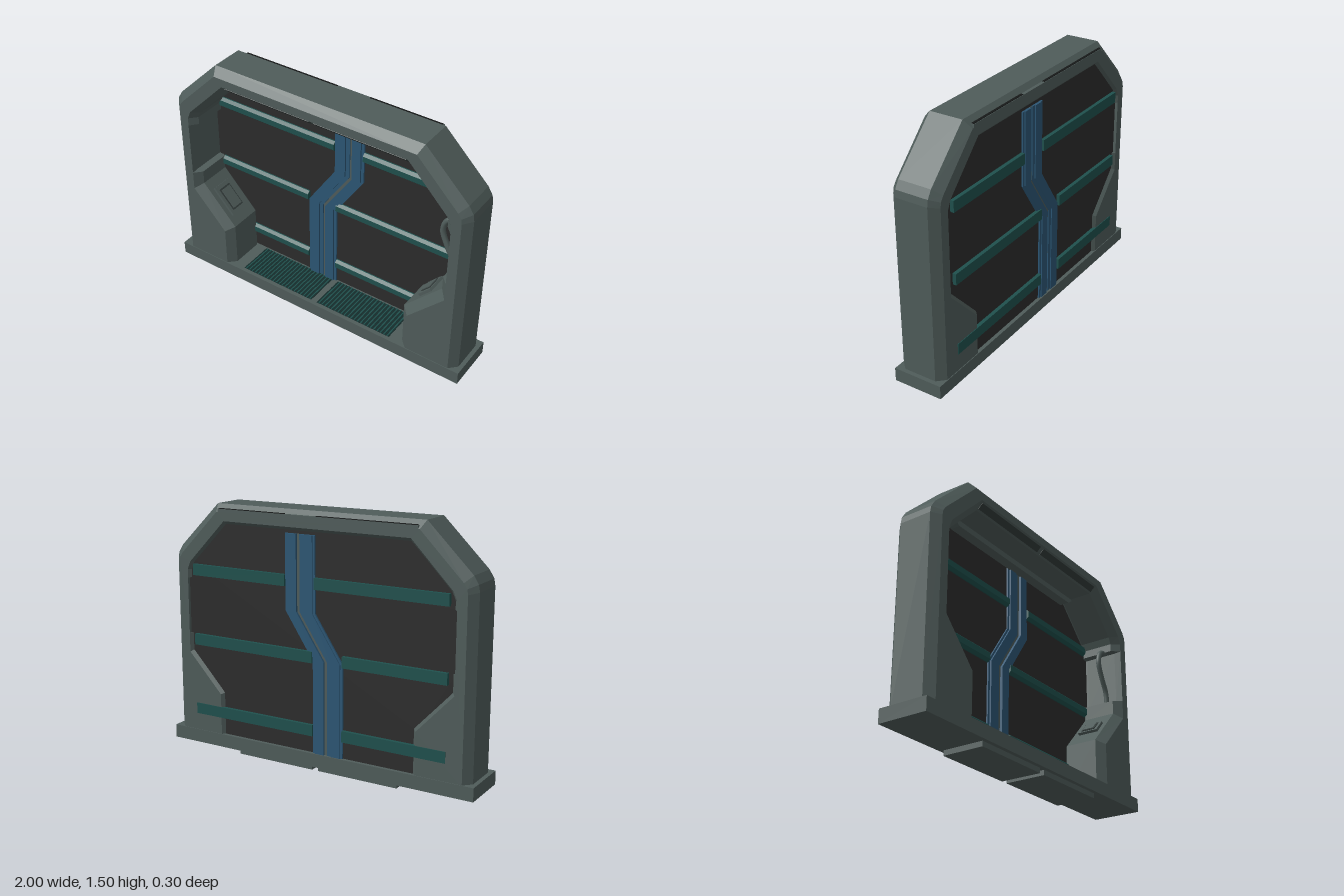
import * as THREE from 'three';

const mat = (name, color, side = THREE.FrontSide) => {
  const m = new THREE.MeshStandardMaterial({ color, side });
  m.name = name;
  return m;
};

// Mirror a right-hand half contour into a full arch, running from +x foot to -x foot
const arch = (half) => [...half, ...half.map(([x, y]) => [-x, y]).reverse()];

const OUTER = arch([[0.975, 0.1], [0.975, 1.15], [0.968, 1.19], [0.94, 1.235], [0.67, 1.5]]);
const FACE = arch([[0.93, 0.1], [0.93, 1.14], [0.925, 1.17], [0.905, 1.2], [0.65, 1.455]]);
const OPENING = arch([[0.65, 0.1], [0.65, 0.36], [0.872, 0.595], [0.872, 0.71], [0.872, 0.712],
  [0.872, 1.05], [0.872, 1.052], [0.872, 1.1], [0.85, 1.15], [0.6, 1.405]]);
// Narrower throat, widened into a pocket on each side
const THROAT = arch([[0.605, 0.1], [0.605, 0.385], [0.83, 0.625], [0.83, 0.71], [0.875, 0.712],
  [0.875, 1.05], [0.83, 1.052], [0.83, 1.1], [0.81, 1.14], [0.59, 1.36]]);

// Skin a series of [contour, z] rings
function loft(rings) {
  const pos = [];
  const put = ([c, z], i) => pos.push(c[i][0], c[i][1], z);
  for (let r = 0; r < rings.length - 1; r++) {
    const p = rings[r], q = rings[r + 1];
    for (let i = 0; i < p[0].length - 1; i++) {
      put(p, i); put(q, i + 1); put(p, i + 1);
      put(p, i); put(q, i); put(q, i + 1);
    }
  }
  const g = new THREE.BufferGeometry();
  g.setAttribute('position', new THREE.Float32BufferAttribute(pos, 3));
  g.computeVertexNormals();
  return g;
}

const shapeOf = (pts) => new THREE.Shape(pts.map(([x, y]) => new THREE.Vector2(x, y)));

// Extrude an outline between two z planes
function slab(pts, z0, z1) {
  return new THREE.ExtrudeGeometry(shapeOf(pts), { depth: z1 - z0, bevelEnabled: false }).translate(0, 0, z0);
}

// Outline of a zigzag strip; x0 and x1 are measured at its foot
function zigzag(x0, x1) {
  const path = [[0, 0.11], [0, 0.66], [0.18, 0.93], [0.18, 1.37]];
  return [...path.map(([d, y]) => [x1 + d, y]), ...path.map(([d, y]) => [x0 + d, y]).reverse()];
}

export function createModel() {
  const root = new THREE.Group();
  root.name = 'slidingDoorway';
  const grey = mat('greyMetal', 0x4f5c5a);
  const shade = mat('darkGreyMetal', 0x333c3b);
  const dark = mat('doorBlack', 0x2c2c2c);
  const blue = mat('blueTrim', 0x2c5674);
  const teal = mat('tealRail', 0x1f504d);
  const grateMat = mat('grateDark', 0x142c2b);
  const black = mat('slotBlack', 0x161818);

  const add = (name, geo, m, parent = root) => {
    const mesh = new THREE.Mesh(geo, m);
    mesh.name = name;
    parent.add(mesh);
    return mesh;
  };
  const box = (name, x0, x1, y0, y1, z0, z1, m, parent) => add(name,
    new THREE.BoxGeometry(x1 - x0, y1 - y0, z1 - z0)
      .translate((x0 + x1) / 2, (y0 + y1) / 2, (z0 + z1) / 2), m, parent);

  // Chamfered arch frame
  const frame = new THREE.Group();
  frame.name = 'frame';
  root.add(frame);
  const Z = 0.146;
  add('frameOuter', loft([[FACE, Z], [OUTER, 0.1], [OUTER, -0.1], [FACE, -Z]]), grey, frame);
  add('frameInner', loft([[OPENING, -Z], [THROAT, -0.1], [THROAT, 0.1], [OPENING, Z]]), grey, frame);
  const ring = shapeOf([...FACE, ...[...OPENING].reverse()]);
  add('frameFront', new THREE.ShapeGeometry(ring).translate(0, 0, Z), grey, frame);
  add('frameBack', new THREE.ShapeGeometry(ring).rotateY(Math.PI).translate(0, 0, -Z), grey, frame);

  // Threshold, feet and floor grates
  box('threshold', -1, 1, 0.03, 0.11, -0.15, 0.15, grey);
  for (const s of [-1, 1]) {
    const a = s < 0 ? -0.53 : 0.02, b = s < 0 ? -0.02 : 0.53;
    box('foot', a, b, 0, 0.03, -0.125, 0.125, grey);
    box('grate', a, b, 0.1, 0.112, -0.1, 0.125, grateMat);
    for (let i = 0; i < 22; i++) {
      const x = a + 0.012 + i * 0.023;
      box('grateBar', x, x + 0.008, 0.108, 0.116, -0.1, 0.125, teal);
    }
    for (let i = 0; i < 5; i++) {
      const z = -0.08 + i * 0.045;
      box('grateCrossBar', a, b, 0.108, 0.114, z, z + 0.007, grateMat);
    }
  }

  // Door leaves
  const door = new THREE.Group();
  door.name = 'door';
  root.add(door);
  add('doorPanel', slab(OPENING, -0.128, -0.112), dark, door);

  // Zigzag meeting edges: blue channels with raised faces and a grey seam
  add('leftEdge', slab(zigzag(-0.19, -0.09), -0.138, -0.102), blue, door);
  add('leftEdgeRaised', slab(zigzag(-0.175, -0.115), -0.144, -0.092), blue, door);
  add('seam', slab(zigzag(-0.09, -0.07), -0.132, -0.108), grey, door);
  add('rightEdge', slab(zigzag(-0.07, 0.005), -0.138, -0.102), blue, door);
  add('rightEdgeRaised', slab(zigzag(-0.07, -0.012), -0.144, -0.092), blue, door);

  // Horizontal rails with chamfered fronts
  for (const [y, shift] of [[0.247, 0], [0.68, 0], [1.103, 0.18]]) {
    const profile = [[0.15, -0.033], [0.15, 0.033], [0.105, 0.033], [0.088, 0.018], [0.088, -0.018], [0.105, -0.033]];
    for (const [x0, x1] of [[-0.83, -0.19 + shift], [0.005 + shift, 0.83]]) {
      const g = slab(profile, 0, x1 - x0).rotateY(Math.PI / 2);
      add('rail', g, teal, door).position.set(x0, y, 0);
    }
  }

  // Overhead bar and vents inside the arch
  add('overheadBar', slab([[-0.56, 1.325], [0.56, 1.325], [0.6, 1.352], [0.6, 1.37], [-0.6, 1.37], [-0.6, 1.352]],
    -0.1, -0.04), grey);
  for (const s of [-1, 1]) {
    const vent = add('overheadVent', new THREE.BoxGeometry(0.57, 0.04, 0.006), shade);
    vent.position.set(s * 0.3, 1.3825, 0.123);
    vent.rotation.x = Math.PI / 4;
    const slot = add('overheadSlot', new THREE.BoxGeometry(0.57, 0.01, 0.004), black);
    slot.position.set(s * 0.3, 1.379, 0.119);
    slot.rotation.x = Math.PI / 4;
  }

  // Track ledge with slots on the rear top chamfer
  box('trackLedge', -0.64, 0.64, 1.44, 1.474, -0.146, -0.11, grey);
  for (const s of [-1, 1]) {
    box('trackSlot', s < 0 ? -0.635 : 0.19, s < 0 ? -0.02 : 0.635, 1.47, 1.477, -0.143, -0.128, black);
  }

  // Control consoles on the sloping shoulders of the legs
  for (const s of [-1, 1]) {
    const c = new THREE.Group();
    c.name = 'console';
    c.position.set(s * 0.7175, 0.505, 0);
    c.rotation.z = s * 0.817;
    root.add(c);
    const w = s < 0 ? 0.1 : 0.05;
    box('consoleBody', -w, w, -0.01, 0.016, -0.06, 0.07, grey, c);
    box('consoleScreen', -w * 0.75, w * 0.75, 0.016, 0.02, -0.04, 0.05, shade, c);
    box('consolePlate', -w * 0.65, w * 0.65, 0.018, 0.024, -0.032, 0.042, grey, c);
  }

  // Hose in the left pocket
  const hose = [[0.86, 1.06], [0.8, 1.04], [0.775, 0.97], [0.81, 0.87], [0.85, 0.79], [0.862, 0.71]]
    .map(([x, y]) => new THREE.Vector3(x, y, 0.04));
  add('hose', new THREE.TubeGeometry(new THREE.CatmullRomCurve3(hose), 28, 0.016, 8), grey);

  return root;
}
